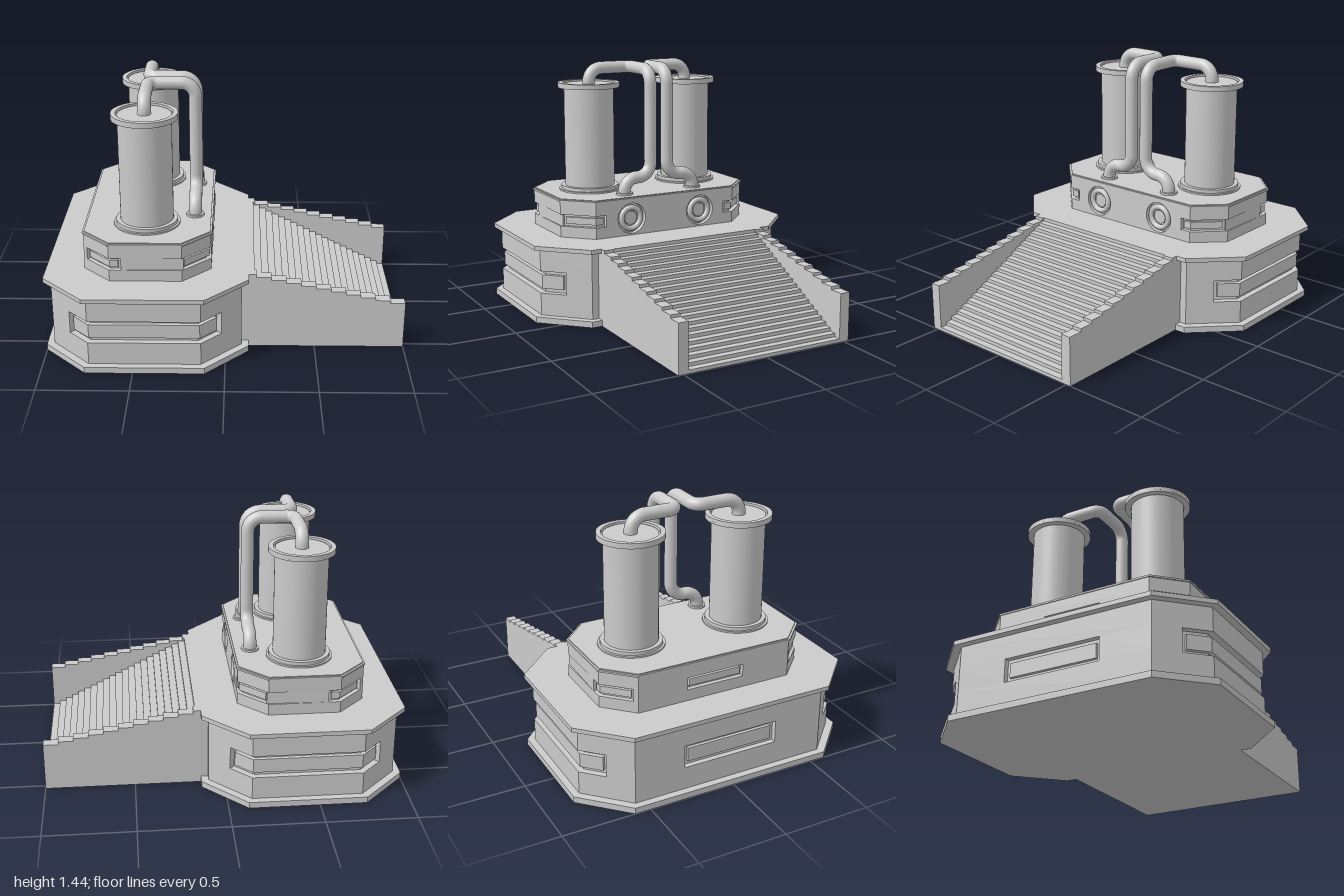
import * as THREE from 'three';

const material = new THREE.MeshStandardMaterial({ color: 0xcccccc });

function add(parent, name, geometry, x = 0, y = 0, z = 0) {
  const mesh = new THREE.Mesh(geometry, material);
  mesh.name = name;
  mesh.position.set(x, y, z);
  parent.add(mesh);
  return mesh;
}

const toShape = (pts) => new THREE.Shape(pts.map(([a, b]) => new THREE.Vector2(a, b)));
const extrude = (shape, depth) =>
  new THREE.ExtrudeGeometry(shape, { depth, bevelEnabled: false, curveSegments: 32 });

// Upright prism from a plan outline of [x, z] points
function prism(parent, name, pts, y0, y1) {
  const g = extrude(toShape(pts.map(([x, z]) => [x, -z])), y1 - y0).rotateX(-Math.PI / 2);
  return add(parent, name, g, 0, y0, 0);
}

// Full outline from its +z half
const mirrorZ = (half) => [...half, ...half.map(([x, z]) => [x, -z]).reverse()];
const octagon = (x0, x1, z, c) =>
  mirrorZ([[x0, z - c], [x0 + c, z], [x1 - c, z], [x1, z - c]]);

// Move an open plan path inward by d with mitred corners
function inset(path, d) {
  const normals = path.slice(1).map(([x, z], i) => {
    const v = new THREE.Vector2(z - path[i][1], path[i][0] - x);
    return v.normalize();
  });
  return path.map(([x, z], i) => {
    const a = normals[Math.max(i - 1, 0)];
    const b = normals[Math.min(i, normals.length - 1)];
    const k = d / (1 + a.dot(b));
    return [x + (a.x + b.x) * k, z + (a.y + b.y) * k];
  });
}

// Shorten both ends of a path by e
function shorten(path, e) {
  const pull = ([x, z], [u, w]) => {
    const l = Math.hypot(u - x, w - z);
    return [x + ((u - x) * e) / l, z + ((w - z) * e) / l];
  };
  const n = path.length;
  return [pull(path[0], path[1]), ...path.slice(1, -1), pull(path[n - 1], path[n - 2])];
}

const groove = (path, d) => [path[0], ...inset(path, d), path[path.length - 1]];

// Raised bar inside a groove, on both sides
function bars(parent, name, path, e, y0, y1, front, back) {
  const p = shorten(path, e);
  const pts = [...inset(p, front), ...inset(p, back).reverse()];
  for (const s of [1, -1]) prism(parent, name, pts.map(([x, z]) => [x, s * z]), y0, y1);
}

function buildBase(parent) {
  const g = new THREE.Group();
  g.name = 'base';
  parent.add(g);
  const plate = octagon(-1, 0.13, 0.83, 0.24);
  const body = octagon(-0.96, 0.09, 0.79, 0.22);
  prism(g, 'basePlate', plate, 0, 0.035);
  prism(g, 'baseLower', body, 0.035, 0.165);
  prism(g, 'baseUpper', body, 0.295, 0.425);
  prism(g, 'deckPlate', plate, 0.425, 0.45);

  // Grooved middle layer
  const path = [[-0.85, 0.68], [-0.74, 0.79], [-0.13, 0.79], [-0.02, 0.68]];
  const half = [[-0.93, 0.28], [-0.96, 0.28], [-0.96, 0.57], ...groove(path, 0.035), [0.09, 0.57]];
  prism(g, 'baseMiddle', mirrorZ(half), 0.165, 0.295);
  bars(g, 'sideBar', path, 0.022, 0.19, 0.27, 0.012, 0.05);
  add(g, 'sidePanel', new THREE.BoxGeometry(0.03, 0.08, 0.51), -0.933, 0.23, 0);
}

function buildUpper(parent) {
  const g = new THREE.Group();
  g.name = 'upperHousing';
  parent.add(g);
  const face = -0.08;
  const depth = 0.03;
  const portEdge = [[face, 0.36], [face - depth, 0.36]];
  const body = mirrorZ([[-0.785, 0.46], [-0.63, 0.615], [-0.235, 0.615], [face, 0.46], ...portEdge]);
  prism(g, 'housingLower', body, 0.45, 0.515);
  prism(g, 'housingUpper', body, 0.585, 0.66);
  prism(g, 'housingRim', octagon(-0.79, -0.075, 0.62, 0.155), 0.66, 0.67);
  prism(g, 'housingTop', octagon(-0.78, -0.085, 0.61, 0.152), 0.67, 0.676);

  // Corner grooves
  const rear = [[-0.765, 0.48], [-0.63, 0.615], [-0.565, 0.615]];
  const front = [[-0.225, 0.605], [face, 0.46], [face, 0.395]];
  const half = [[-0.76, 0.17], [-0.785, 0.17], [-0.785, 0.46],
    ...groove(rear, 0.025), ...groove(front, 0.025), ...portEdge];
  prism(g, 'housingMiddle', mirrorZ(half), 0.515, 0.585);
  for (const p of [rear, front]) bars(g, 'cornerBar', p, 0.015, 0.53, 0.57, 0.01, 0.04);
  add(g, 'rearPanel', new THREE.BoxGeometry(0.03, 0.04, 0.31), -0.76, 0.55, 0);

  // Face plate with round ports
  const plate = toShape([[-0.36, -0.1], [0.36, -0.1], [0.36, 0.11], [-0.36, 0.11]]);
  for (const z of [-0.23, 0.23]) {
    const hole = new THREE.Path();
    hole.absarc(z, 0, 0.09, 0, Math.PI * 2, true);
    plate.holes.push(hole);
    const ring = add(g, 'portRing', new THREE.TorusGeometry(0.062, 0.016, 12, 40), face - 0.012, 0.55, z);
    ring.rotation.y = Math.PI / 2;
    const cap = add(g, 'portCap', new THREE.CylinderGeometry(0.04, 0.04, 0.02, 32), face - 0.022, 0.55, z);
    cap.rotation.z = Math.PI / 2;
  }
  add(g, 'portPlate', extrude(plate, depth).rotateY(Math.PI / 2), face - depth, 0.55, 0);
}

function buildStairs(parent) {
  const g = new THREE.Group();
  g.name = 'stairs';
  parent.add(g);
  // Stepped side profile in x and y
  const profile = (x0, y0, x1, y1, first, steps) => {
    const pts = [[0.09, 0], [0.09, y0]];
    const run = (x1 - x0) / steps;
    for (let i = 0; i <= steps; i++) {
      const y = y0 + ((y1 - y0) * i) / steps;
      const x = Math.min(first + run * i, 1);
      pts.push([x, y]);
      if (i < steps) pts.push([x, y0 + ((y1 - y0) * (i + 1)) / steps]);
    }
    pts.push([1, 0]);
    return toShape(pts);
  };
  const wall = extrude(profile(0.17, 0.45, 1, 0.275, 0.17, 10), 0.06);
  add(g, 'stairWall', wall, 0, 0, 0.47);
  add(g, 'stairWall', wall, 0, 0, -0.53);
  add(g, 'treads', extrude(profile(0.16, 0.45, 1, 0.02, 0.16, 21), 0.94), 0, 0, -0.47);
}

// Pipe path with rounded corners
function pipeCurve(pts, r) {
  const v = pts.map((p) => new THREE.Vector3(...p));
  const curve = new THREE.CurvePath();
  let from = v[0];
  for (let i = 1; i < v.length - 1; i++) {
    const a = v[i].clone().add(v[i - 1].clone().sub(v[i]).setLength(r[i - 1]));
    const b = v[i].clone().add(v[i + 1].clone().sub(v[i]).setLength(r[i - 1]));
    curve.add(new THREE.LineCurve3(from, a));
    // Cubic quarter circle
    curve.add(new THREE.CubicBezierCurve3(a, a.clone().lerp(v[i], 0.552), b.clone().lerp(v[i], 0.552), b));
    from = b;
  }
  curve.add(new THREE.LineCurve3(from, v[v.length - 1]));
  return curve;
}

function buildTank(parent, s) {
  const g = new THREE.Group();
  g.name = s > 0 ? 'frontTank' : 'backTank';
  parent.add(g);
  const x = -0.44;
  const z = s * 0.328;
  const disc = (name, r, y0, y1, px = x, pz = z) =>
    add(g, name, new THREE.CylinderGeometry(r, r, y1 - y0, 48), px, (y0 + y1) / 2, pz);
  disc('tankBody', 0.148, 0.67, 1.31);
  disc('tankFoot', 0.185, 0.67, 0.685);
  disc('tankFootStep', 0.172, 0.685, 0.705);
  disc('tankFlange', 0.183, 1.29, 1.3);
  const ring = new THREE.Shape().absarc(0, 0, 0.183, 0, Math.PI * 2);
  ring.holes.push(new THREE.Path().absarc(0, 0, 0.156, 0, Math.PI * 2, true));
  add(g, 'tankRim', extrude(ring, 0.02).rotateX(-Math.PI / 2), x, 1.3, z);

  // Pipe from the tank top down into the housing
  const path = pipeCurve([
    [x, 1.3, z], [x, 1.4, z], [x, 1.4, s * 0.055], [-0.175, 1.4, s * 0.055],
    [-0.175, 0.77, s * 0.055], [-0.175, 0.77, s * 0.23], [-0.175, 0.66, s * 0.23],
  ], [0.08, 0.05, 0.08, 0.085, 0.08]);
  add(g, 'pipe', new THREE.TubeGeometry(path, 200, 0.037, 20, false));
  disc('pipeCollar', 0.05, 0.67, 0.688, -0.175, s * 0.23);
}

export function createModel() {
  const model = new THREE.Group();
  model.name = 'steppedTankPlatform';
  buildBase(model);
  buildUpper(model);
  buildStairs(model);
  for (const s of [1, -1]) buildTank(model, s);
  return model;
}
